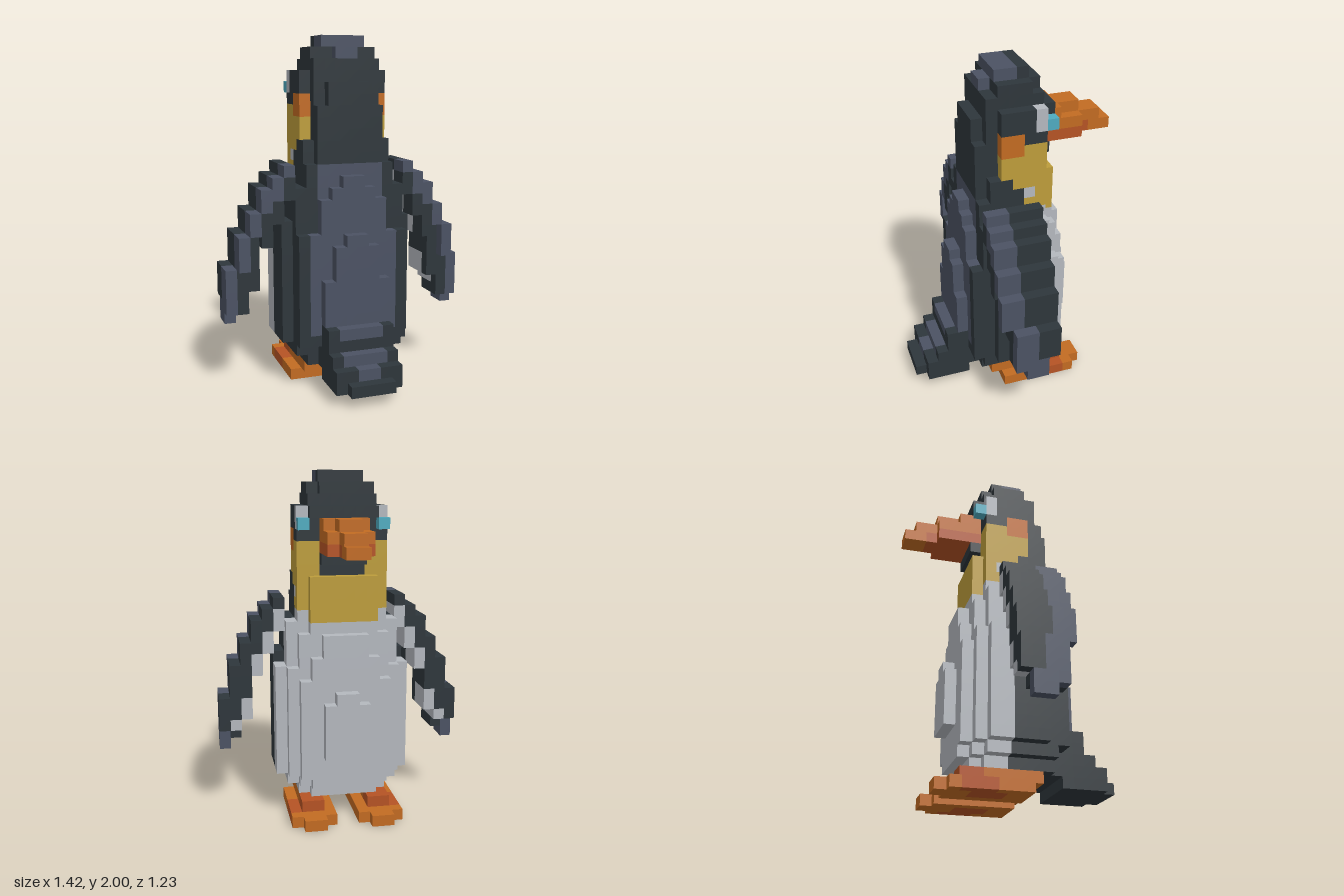
import * as THREE from 'three';
import { mergeGeometries } from 'three/addons/utils/BufferGeometryUtils.js';

const V = 2 / 31; // edge of one cube

const colours = {
  charcoal: 0x2e363b, slate: 0x4b5263, paleGrey: 0xb4b8be, orange: 0xc26b22,
  rust: 0xb55324, mustard: 0xbd9d3b, cyan: 0x4fabc0,
};

// The six directions in which a cube may show a face
const sides = [
  [1, 0, 0], [-1, 0, 0], [0, 1, 0], [0, -1, 0], [0, 0, 1], [0, 0, -1],
];

function faceGeometry(cell, d) {
  const g = new THREE.PlaneGeometry(V, V);
  if (d[0]) g.rotateY(d[0] * Math.PI / 2);
  else if (d[1]) g.rotateX(-d[1] * Math.PI / 2);
  else if (d[2] < 0) g.rotateY(Math.PI);
  return g.translate(...cell.map((c, i) => (c + d[i] / 2) * V));
}

export function createModel() {
  const cells = new Map();

  // Fills a mirrored block of cubes between edges, replacing what was there
  function fill(part, colour, x0, x1, y0, y1, z0, z1) {
    for (let x = x0 + 0.5; x < x1; x++)
      for (let y = y0 + 0.5; y < y1; y++)
        for (let z = z0 + 0.5; z < z1; z++)
          for (const m of [x, -x])
            cells.set([m, y, z].join(), { pos: [m, y, z], part, colour });
  }

  // Body: dark core, stepped towards the top and bottom
  fill('body', 'charcoal', 0, 4, 2, 3, -0.5, 3.5);
  fill('body', 'charcoal', 0, 5, 3, 4, -0.5, 3.5);
  fill('body', 'charcoal', 0, 6, 4, 15, -0.5, 2.5);
  fill('body', 'charcoal', 0, 5, 4, 18, -0.5, 3.5);
  fill('body', 'charcoal', 0, 5, 4, 14, 3.5, 4.5);
  fill('body', 'charcoal', 0, 4, 18, 20, -0.5, 3.5);

  // Slate back, three raised layers
  fill('back', 'slate', 0, 3, 14, 20, 2.5, 3.5);
  fill('back', 'slate', 0, 4, 5, 14, 3.5, 4.5);
  fill('back', 'slate', 0, 3, 14, 17, 3.5, 4.5);
  fill('back', 'slate', 0, 2, 17, 18, 3.5, 4.5);
  fill('back', 'slate', 0, 1, 18, 19, 3.5, 4.5);
  fill('back', 'slate', 0, 3, 5, 10, 4.5, 5.5);
  fill('back', 'slate', 0, 2, 10, 13, 4.5, 5.5);
  fill('back', 'slate', 0, 1, 13, 14, 4.5, 5.5);

  // Pale belly, raised towards the middle
  fill('belly', 'paleGrey', 0, 4, 2, 3, -2.5, -0.5);
  fill('belly', 'paleGrey', 0, 3, 2, 3, -3.5, -2.5);
  fill('belly', 'paleGrey', 0, 5, 3, 4, -2.5, -0.5);
  fill('belly', 'paleGrey', 0, 4, 3, 4, -3.5, -2.5);
  fill('belly', 'paleGrey', 0, 3, 3, 4, -4.5, -3.5);
  fill('belly', 'paleGrey', 0, 6, 4, 14, -2.5, -0.5);
  fill('belly', 'paleGrey', 0, 5, 4, 18, -2.5, -0.5);
  fill('belly', 'paleGrey', 0, 4, 18, 21, -2.5, -0.5);
  fill('belly', 'paleGrey', 0, 5, 4, 14, -3.5, -2.5);
  fill('belly', 'paleGrey', 0, 4, 14, 17, -3.5, -2.5);
  fill('belly', 'paleGrey', 0, 3, 17, 18, -3.5, -2.5);
  fill('belly', 'paleGrey', 0, 4, 4, 13, -4.5, -3.5);
  fill('belly', 'paleGrey', 0, 3, 13, 15, -4.5, -3.5);
  fill('belly', 'paleGrey', 0, 2, 15, 17, -4.5, -3.5);
  fill('belly', 'paleGrey', 0, 2, 6, 11, -5.5, -4.5);
  fill('belly', 'paleGrey', 0, 1, 11, 12, -5.5, -4.5);

  // Tail steps: half width, bottom, top, start, end and half width of the slate
  for (const [w, y0, y1, z0, z1, s] of [
    [3, 2, 6, 3.5, 6.5, 2], [3, 2, 4, 6.5, 7.5, 2],
    [3, 1, 3, 4.5, 8.5, 1], [2, 1, 2, 8.5, 9.5, 0],
  ]) {
    fill('tail', 'charcoal', 0, w, y0, y1, z0, z1);
    fill('tail', 'slate', 0, s, y1 - 1, y1, z1 - 1, z1);
  }

  // Wings: column, bottom, top and lower edge of the outer feathers
  for (const [c, b, t, s] of [
    [5, 17, 20, 19], [6, 15, 19, 17], [7, 13, 18, 16], [8, 9, 16, 14], [9, 7, 14, 11],
  ]) {
    fill('wing', 'charcoal', c, c + 1, b, t, -0.5, c > 7 ? 2.5 : 3.5);
    fill('wing', 'charcoal', c, c + 1, Math.max(b, 8), t, -1.5, -0.5);
    fill('wing', 'slate', c, c + 1, s, t, 1.5, 3.5);
    fill('wing', 'paleGrey', c, c + 1, Math.max(b, 8), b + 2, -1.5, 1.5);
  }
  fill('wing', 'charcoal', 10, 11, 8, 11, -1.5, 0.5);
  fill('wing', 'slate', 10, 11, 7, 11, 0.5, 2.5);
  fill('wing', 'slate', 10, 11, 6, 8, -0.5, 1.5);

  // Head and neck
  fill('head', 'charcoal', 0, 4, 20, 22, -0.5, 2.5);
  fill('head', 'charcoal', 0, 4, 21, 28, -2.5, 1.5);
  fill('head', 'charcoal', 0, 3, 20, 28, 1.5, 2.5);
  fill('head', 'charcoal', 0, 2, 20, 27, 2.5, 3.5);
  fill('head', 'charcoal', 2, 3, 20, 25, 2.5, 3.5);
  fill('head', 'charcoal', 0, 3, 28, 30, -1.5, 1.5);
  fill('head', 'charcoal', 0, 2, 28, 29, -2.5, 2.5);
  fill('head', 'charcoal', 2, 3, 28, 29, -2.5, 2.5);
  fill('head', 'charcoal', 0, 2, 29, 30, -2.5, 1.5);
  fill('head', 'charcoal', 0, 2, 30, 31, -1.5, -0.5);
  fill('crown', 'slate', 0, 2, 30, 31, -0.5, 1.5);
  fill('crown', 'slate', 0, 1, 29, 30, 1.5, 2.5);
  fill('brow', 'charcoal', 0, 3, 27, 28, -3.5, -2.5);
  fill('chin', 'charcoal', 0, 2, 23, 24, -3.5, -2.5);

  // Cheeks and bib
  fill('cheek', 'mustard', 3, 4, 22, 24, -2.5, 1.5);
  fill('cheek', 'mustard', 3, 4, 21, 22, -2.5, 0.5);
  fill('cheek', 'mustard', 2, 4, 21, 25, -2.5, -0.5);
  fill('earPatch', 'orange', 3, 4, 24, 26, -0.5, 1.5);
  fill('bib', 'mustard', 0, 4, 20, 22, -2.5, -1.5);
  fill('bib', 'mustard', 0, 4, 19, 20, -2.5, -0.5);
  fill('bib', 'mustard', 0, 3, 18, 22, -3.5, -2.5);

  // Eyes
  fill('eyeWhite', 'paleGrey', 3, 4, 26, 28, -2.5, -1.5);
  fill('eye', 'cyan', 3, 4, 26, 27, -3.5, -2.5);

  // Beak
  fill('beak', 'orange', 0, 2, 26, 27, -4.5, -2.5);
  fill('beak', 'orange', 0, 1, 26, 27, -6.5, -4.5);
  fill('beak', 'orange', 0, 2, 25, 26, -6.5, -2.5);
  fill('beak', 'orange', 0, 1, 25, 26, -8.5, -6.5);
  fill('beak', 'rust', 0, 2, 24, 25, -6.5, -2.5);
  fill('beak', 'rust', 0, 1, 24, 25, -7.5, -6.5);
  fill('beak', 'orange', 0, 1, 24, 25, -9.5, -7.5);

  // Feet
  fill('foot', 'orange', 1, 5, 0, 1, -5.5, 1.5);
  fill('foot', 'orange', 2, 4, 0, 1, -6.5, -5.5);
  fill('foot', 'orange', 2, 4, 1, 2, -2.5, 2.5);
  fill('foot', 'rust', 2, 4, 1, 2, -4.5, -2.5);
  fill('foot', 'rust', 4, 5, 0, 1, -4.5, -1.5);
  fill('foot', 'rust', 2, 4, 0, 1, -3.5, -0.5);

  // Collect the exposed faces of each part and colour
  const batches = new Map();
  for (const { pos, part, colour } of cells.values()) {
    const key = part + ' ' + colour;
    if (!batches.has(key)) batches.set(key, { part, colour, faces: [] });
    for (const d of sides)
      if (!cells.has(pos.map((p, i) => p + d[i]).join()))
        batches.get(key).faces.push(faceGeometry(pos, d));
  }

  const materials = {};
  for (const name in colours) {
    materials[name] = new THREE.MeshStandardMaterial({ color: colours[name] });
    materials[name].name = name;
  }

  const model = new THREE.Group();
  model.name = 'penguin';
  for (const { part, colour, faces } of batches.values()) {
    if (!faces.length) continue;
    const mesh = new THREE.Mesh(mergeGeometries(faces), materials[colour]);
    mesh.name = part;
    model.add(mesh);
  }
  return model;
}
